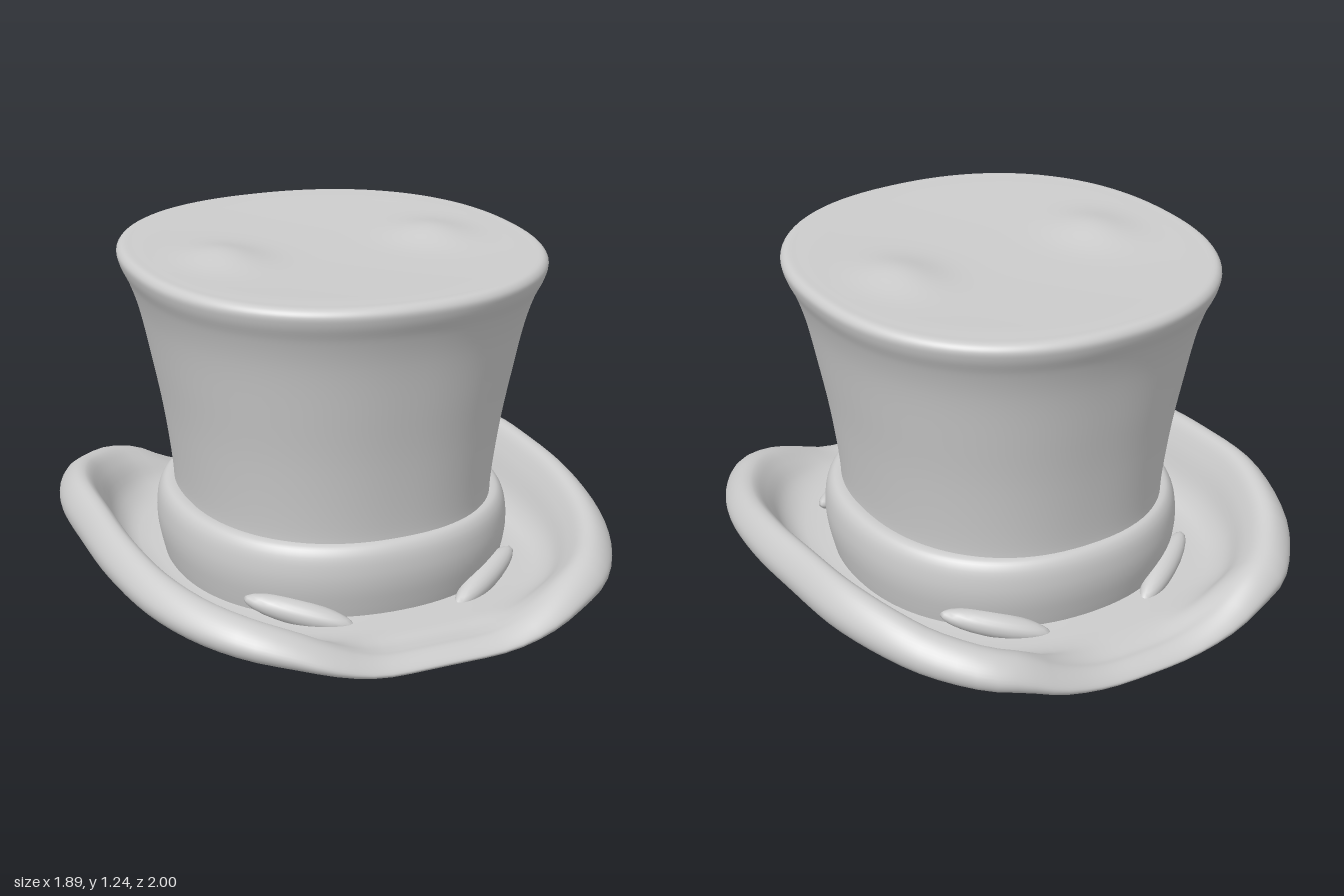
import * as THREE from 'three';
import { mergeVertices } from 'three/addons/utils/BufferGeometryUtils.js';

const material = new THREE.MeshStandardMaterial({ color: 0xcccccc, roughness: 0.8 });
const SEGMENTS = 96;

function named(name, geometry) {
  const mesh = new THREE.Mesh(geometry, material);
  mesh.name = name;
  return mesh;
}

// Samples a smooth line through a few [radius, height] points
function smoothProfile(points, count) {
  const curve = new THREE.CatmullRomCurve3(points.map(([r, y]) => new THREE.Vector3(r, y, 0)), false, 'centripetal');
  return curve.getPoints(count).map((p) => new THREE.Vector2(Math.max(p.x, 0), p.y));
}

// Radius factor that turns a circle into a rounded square (power 2 = circle)
function squareness(c, s, power) {
  return Math.pow(Math.abs(c) ** power + Math.abs(s) ** power, -1 / power);
}

// Lathe with a slightly squared plan; length(y) lengthens it in z, shape(x, y, z) gives the height
function squaredLathe(profile, power, length, shape = (x, y) => y) {
  let geometry = new THREE.LatheGeometry(profile, SEGMENTS);
  const pos = geometry.attributes.position;
  for (let i = 0; i < pos.count; i++) {
    const a = Math.atan2(pos.getZ(i), pos.getX(i));
    const f = squareness(Math.cos(a), Math.sin(a), power);
    const x = pos.getX(i) * f, y = pos.getY(i), z = pos.getZ(i) * f * length(y);
    pos.setXYZ(i, x, shape(x, y, z), z);
  }
  geometry.deleteAttribute('uv');
  geometry.deleteAttribute('normal');
  geometry = mergeVertices(geometry, 1e-5);
  geometry.computeVertexNormals();
  return geometry;
}

const crownLength = (y) => 1.1 - 0.038 * y;

// Flared crown wall with a rolled top edge
function crown() {
  const profile = smoothProfile([
    [0.56, 0.28], [0.562, 0.36], [0.592, 0.6], [0.629, 0.8], [0.672, 1.0],
    [0.705, 1.1], [0.735, 1.165], [0.741, 1.2], [0.725, 1.22], [0.68, 1.222],
  ], 48);
  return named('crown', squaredLathe(profile, 2.24, crownLength));
}

// Crown top: shallow dish with two soft bumps
function crownTop() {
  const profile = [];
  for (let i = 0; i <= 24; i++) profile.push(new THREE.Vector2(0.685 * (1 - i / 24), 1.222));
  return named('crownTop', squaredLathe(profile, 2.24, crownLength, (x, y, z) => {
    const dish = 0.018 * Math.max(0, 1 - (x * x + z * z) / 0.45);
    const bump = Math.exp(-(((Math.abs(x) - 0.4) / 0.13) ** 2) - (z / 0.17) ** 2);
    return y - dish + 0.034 * bump;
  }));
}

// Padded band round the foot of the crown
function band() {
  const profile = smoothProfile([
    [0.6, 0.03], [0.617, 0.1], [0.63, 0.17], [0.632, 0.23], [0.622, 0.29],
    [0.603, 0.32], [0.58, 0.328], [0.54, 0.325],
  ], 28);
  return named('band', squaredLathe(profile, 2.16, () => 1.045));
}

// Half of the brim outline, front to back: x, rise of the rolled edge, z
const OUTLINE = [
  [0, 0, 1], [0.25, 0.008, 1], [0.41, 0.06, 0.99], [0.54, 0.11, 0.945], [0.68, 0.15, 0.86],
  [0.8, 0.175, 0.7], [0.89, 0.205, 0.48], [0.937, 0.24, 0.19], [0.94, 0.26, -0.1],
  [0.922, 0.265, -0.4], [0.842, 0.235, -0.65], [0.765, 0.205, -0.78], [0.625, 0.17, -0.925],
  [0.5, 0.135, -0.975], [0.36, 0.065, -0.998], [0.18, 0.01, -1], [0, 0, -1],
];

// Brim: one cross-section swept round the outline
function brim() {
  const mirrored = OUTLINE.slice(1, -1).reverse().map(([x, y, z]) => [-x, y, z]);
  const loop = [...OUTLINE, ...mirrored].map((p) => new THREE.Vector3(...p));
  const outline = new THREE.CatmullRomCurve3(loop, true, 'centripetal').getSpacedPoints(SEGMENTS);
  const steps = 72;
  const positions = [], indices = [];
  for (let i = 0; i < SEGMENTS; i++) {
    const { x, z } = outline[i];
    const lift = Math.max(outline[i].y, 0);
    const k = lift / 0.27;
    const edge = 0.056 + 0.006 * z + lift;
    const profile = smoothProfile([
      // upper face and inside of the roll
      [0.5, 0.065], [0.72, 0.06], [0.79, 0.06 + 0.22 * lift], [0.845, 0.055 + 0.7 * lift],
      // rolled edge
      [0.895, edge - 0.004], [0.935, edge], [0.975, edge - 0.012 - 0.02 * k],
      [1.0, edge - 0.035 - 0.05 * k], [0.99, edge - 0.048 - 0.09 * k],
      // underside
      [0.92, 0.012 + 0.4 * lift], [0.83, 0.02 + 0.14 * lift], [0.7, 0.025], [0.56, 0.027],
      // shallow domed head opening
      [0.53, 0.04], [0.51, 0.085], [0.46, 0.125], [0.35, 0.155], [0, 0.175],
    ], steps);
    // rounded square towards the middle, following the outline at the edge
    const a = Math.atan2(z, x / 0.94);
    const f = squareness(Math.cos(a), Math.sin(a), 2.5);
    for (const p of profile) {
      const t = THREE.MathUtils.smoothstep(p.x, 0.45, 0.9);
      positions.push(
        p.x * THREE.MathUtils.lerp(0.96 * f * Math.cos(a), x, t),
        Math.max(p.y, 0),
        p.x * THREE.MathUtils.lerp(f * Math.sin(a), z, t),
      );
    }
  }
  const row = steps + 1;
  for (let i = 0; i < SEGMENTS; i++) {
    const next = (i + 1) % SEGMENTS;
    for (let j = 0; j < steps; j++) {
      const p = i * row + j, q = next * row + j;
      indices.push(p, p + 1, q, q, p + 1, q + 1);
    }
  }
  const geometry = new THREE.BufferGeometry();
  geometry.setAttribute('position', new THREE.Float32BufferAttribute(positions, 3));
  geometry.setIndex(indices);
  geometry.computeVertexNormals();
  return named('brim', geometry);
}

// Small gathered fold where the band meets the brim
function fold(sideX, sideZ) {
  const mesh = named('bandFold', new THREE.SphereGeometry(1, 20, 12));
  mesh.scale.set(0.2, 0.045, 0.05);
  mesh.position.set(sideX * 0.36, 0.085, sideZ * 0.555);
  mesh.rotation.set(0, sideX * sideZ * 0.58, sideX * 0.2);
  return mesh;
}

export function createModel() {
  const hat = new THREE.Group();
  hat.name = 'topHat';
  hat.add(crown(), crownTop(), band(), brim());
  for (const sideX of [-1, 1]) {
    for (const sideZ of [-1, 1]) hat.add(fold(sideX, sideZ));
  }
  return hat;
}
